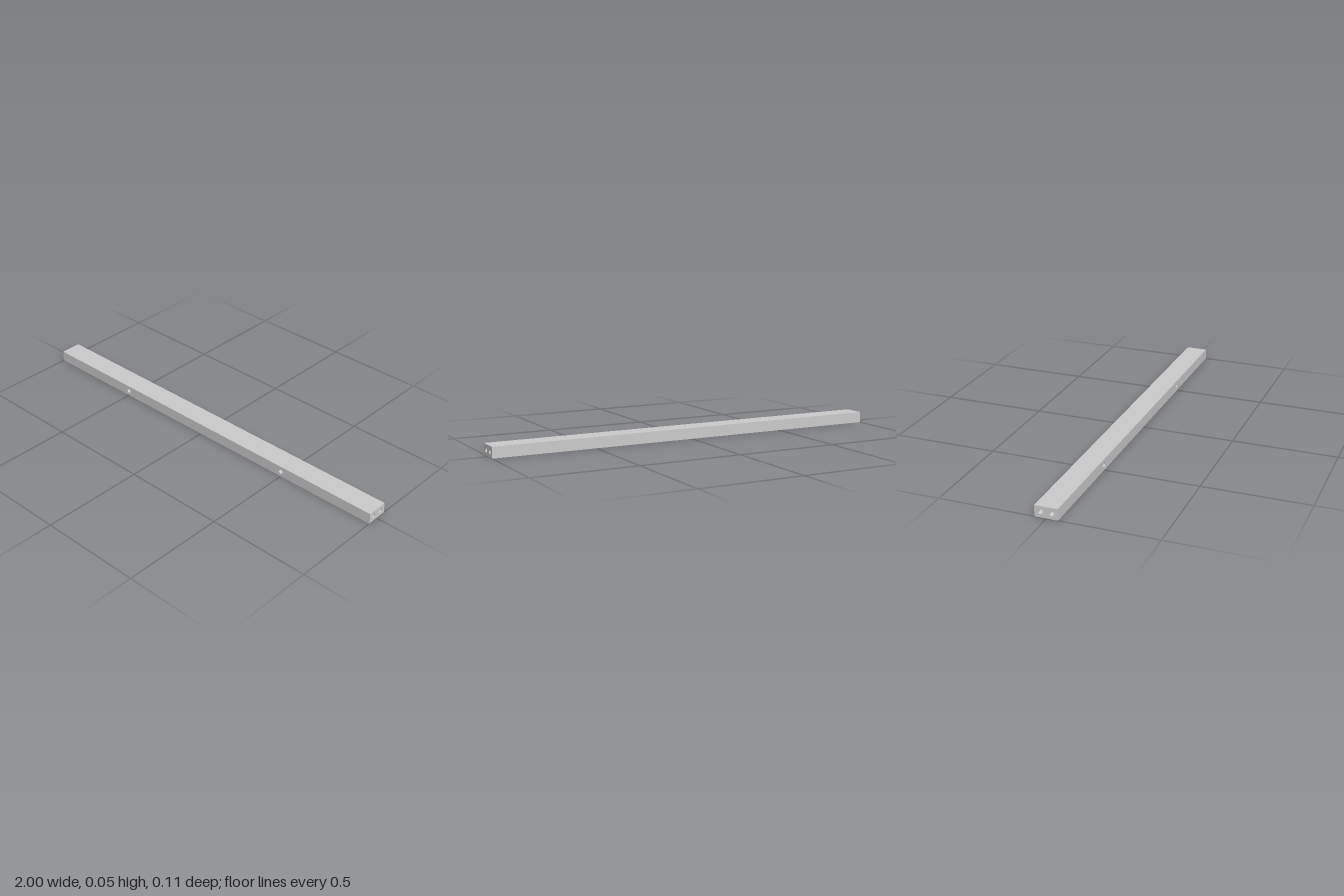
import * as THREE from 'three';

const LENGTH = 2, HEIGHT = 0.053, DEPTH = 0.106;
const HOLE_RADIUS = 0.0115, HOLE_SIDES = 16;

const material = new THREE.MeshStandardMaterial({ color: 0xcccccc });
const innerMaterial = new THREE.MeshStandardMaterial({ color: 0xcccccc, side: THREE.DoubleSide });

// A flat face of the beam looking along +z, with blind round holes drilled at the given x positions
function drilledFace(name, width, height, holeXs = [], holeDepth = 0) {
  const face = new THREE.Group();
  face.name = name;
  const w = width / 2, h = height / 2;
  const outline = new THREE.Shape([
    new THREE.Vector2(-w, -h), new THREE.Vector2(w, -h),
    new THREE.Vector2(w, h), new THREE.Vector2(-w, h),
  ]);
  for (const x of holeXs) {
    outline.holes.push(new THREE.Path().absarc(x, 0, HOLE_RADIUS, 0, Math.PI * 2, true));

    // Hole wall
    const wall = new THREE.Mesh(
      new THREE.CylinderGeometry(HOLE_RADIUS, HOLE_RADIUS, holeDepth, HOLE_SIDES, 1, true)
        .rotateX(Math.PI / 2),
      innerMaterial);
    wall.name = 'holeWall';
    wall.position.set(x, 0, -holeDepth / 2);

    // Hole bottom
    const bottom = new THREE.Mesh(new THREE.CircleGeometry(HOLE_RADIUS, HOLE_SIDES), material);
    bottom.name = 'holeBottom';
    bottom.position.set(x, 0, -holeDepth);
    face.add(wall, bottom);
  }
  const panel = new THREE.Mesh(new THREE.ShapeGeometry(outline, HOLE_SIDES), material);
  panel.name = name + 'Surface';
  face.add(panel);
  return face;
}

export function createModel() {
  const beam = new THREE.Group();
  beam.name = 'beam';
  const midY = HEIGHT / 2;

  // Front with two bolt holes, plain back
  const front = drilledFace('frontFace', LENGTH, HEIGHT, [-0.5, 0.5], 0.035);
  front.position.set(0, midY, DEPTH / 2);
  const back = drilledFace('backFace', LENGTH, HEIGHT);
  back.position.set(0, midY, -DEPTH / 2);
  back.rotation.y = Math.PI;

  // Plain top and bottom
  const top = drilledFace('topFace', LENGTH, DEPTH);
  top.position.y = HEIGHT;
  top.rotation.x = -Math.PI / 2;
  const bottom = drilledFace('bottomFace', LENGTH, DEPTH);
  bottom.rotation.x = Math.PI / 2;
  beam.add(front, back, top, bottom);

  // Ends with a pair of dowel holes each
  for (const side of [-1, 1]) {
    const end = drilledFace(side > 0 ? 'leftEnd' : 'rightEnd', DEPTH, HEIGHT, [-0.025, 0.025], 0.05);
    end.position.set(side * LENGTH / 2, midY, 0);
    end.rotation.y = side * Math.PI / 2;
    beam.add(end);
  }
  return beam;
}
